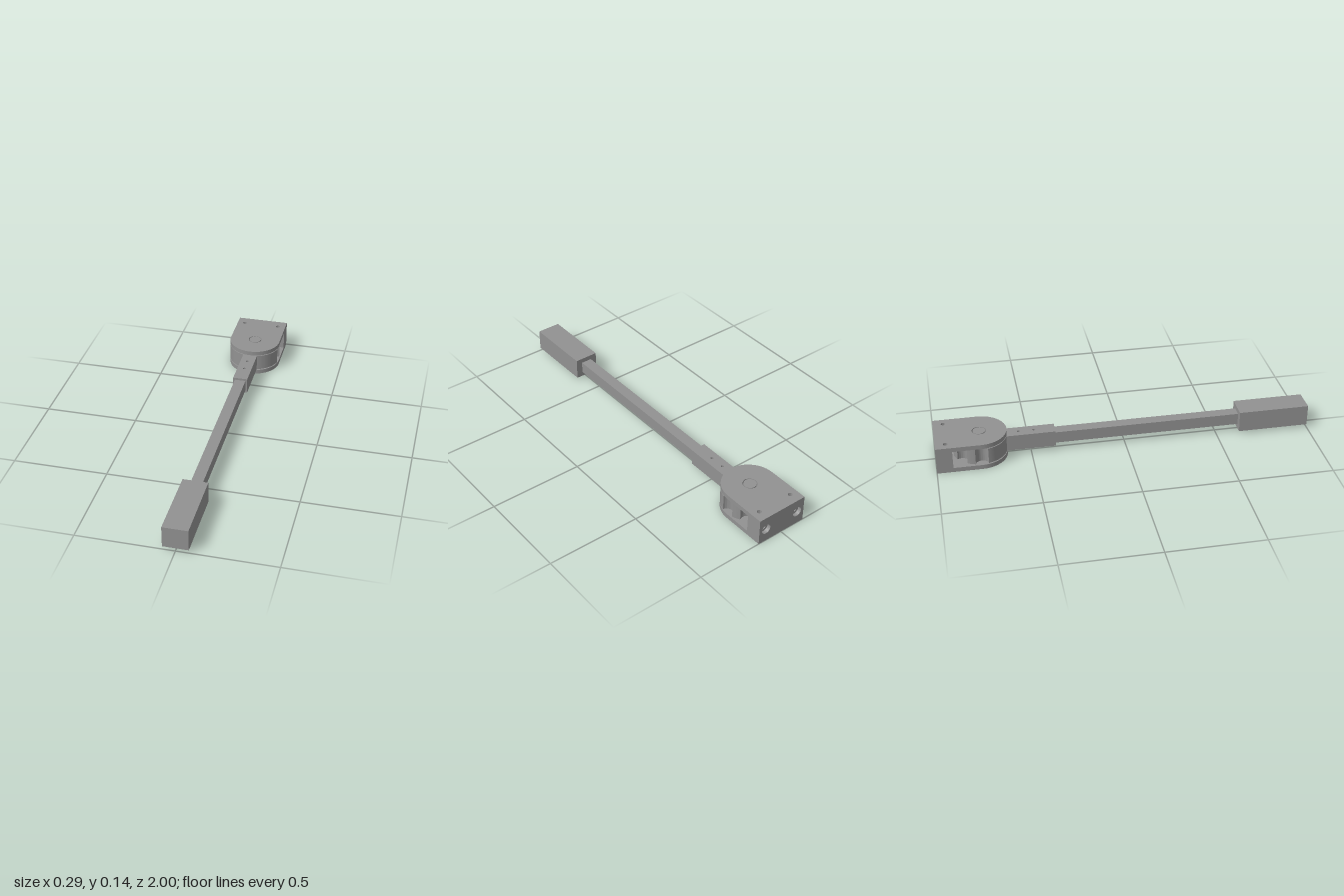
import * as THREE from 'three';
import { toCreasedNormals } from 'three/addons/utils/BufferGeometryUtils.js';

const PIVOT = 0.766;   // distance of the hinge axis behind the centre
const R = 0.143;       // hinge radius
const HEIGHT = 0.145;

export function createModel() {
  const model = new THREE.Group();
  model.name = 'hingedLever';
  const steel = new THREE.MeshStandardMaterial({ color: 0x929292 });
  steel.name = 'grey steel';

  const add = (name, geometry) => {
    const mesh = new THREE.Mesh(geometry, steel);
    mesh.name = name;
    model.add(mesh);
    return mesh;
  };
  const box = (name, w, y0, y1, z0, z1) =>
    add(name, new THREE.BoxGeometry(w, y1 - y0, z1 - z0))
      .position.set(0, (y0 + y1) / 2, (z0 + z1) / 2);
  const extrude = (shape, depth) => toCreasedNormals(
    new THREE.ExtrudeGeometry(shape, { depth, bevelEnabled: false, curveSegments: 32 }), 0.6);
  // Extrudes a plan (x, -z) upwards from y0 to y1
  const slab = (name, shape, y0, y1) =>
    add(name, extrude(shape, y1 - y0).rotateX(-Math.PI / 2)).position.y = y0;
  const rect = (w, y0, y1) => new THREE.Shape([
    new THREE.Vector2(-w / 2, y0), new THREE.Vector2(w / 2, y0),
    new THREE.Vector2(w / 2, y1), new THREE.Vector2(-w / 2, y1)]);
  const hole = (shape, x, y, r) =>
    shape.holes.push(new THREE.Path().absarc(x, y, r, 0, Math.PI * 2, true));

  // Handle, bar and the socket that holds the bar
  box('handle', 0.13, 0.017, 0.131, 0.62, 1);
  box('bar', 0.06, 0.042, 0.105, -0.6, 0.63);
  const socket = rect(0.08, 0.37, 0.65);
  for (const y of [0.48, 0.56]) hole(socket, 0, y, 0.008);
  slab('socket', socket, 0.03, 0.117);

  // Rotor with five detent notches round its rear half
  const rotor = new THREE.Shape();
  const notch = 0.034;
  const delta = 2 * Math.asin(notch / (2 * R));
  for (let i = 0; i < 5; i++) {
    const a = i * Math.PI / 4;
    rotor.absarc(R * Math.cos(a), PIVOT + R * Math.sin(a), notch,
      a - Math.PI / 2 - delta / 2, a + Math.PI / 2 + delta / 2, true);
    const next = i < 4 ? a + Math.PI / 4 : Math.PI * 2;
    rotor.absarc(0, PIVOT, R, a + delta, next - delta, false);
  }
  slab('notchedRotor', rotor, 0.03, 0.117);

  // Rounded cheek plates above and below the rotor
  for (const [name, y0] of [['lowerPlate', 0], ['upperPlate', 0.121]]) {
    const plate = new THREE.Shape();
    plate.moveTo(R, 0.96);
    plate.lineTo(-R, 0.96);
    plate.lineTo(-R, PIVOT);
    plate.absarc(0, PIVOT, R, Math.PI, Math.PI * 2, false);
    plate.closePath();
    hole(plate, 0, PIVOT, 0.037);
    for (const x of [-0.1, 0.1]) hole(plate, x, 0.945, 0.012);
    slab(name, plate, y0, y0 + 0.024);
  }

  // Rear block, drilled from above and counterbored from behind
  const core = rect(2 * R, 0.915, 0.96);
  for (const x of [-0.1, 0.1]) hole(core, x, 0.945, 0.012);
  slab('blockCore', core, 0.024, 0.121);
  for (const [name, z, r] of [['blockBack', -1, 0.027], ['boltSeat', -0.98, 0.014]]) {
    const layer = rect(2 * R, 0, HEIGHT);
    for (const x of [-0.1, 0.1]) hole(layer, x, HEIGHT / 2, r);
    add(name, extrude(layer, 0.02)).position.z = z;
  }

  // Hinge pin, flush with the plates
  add('hingePin', new THREE.CylinderGeometry(0.033, 0.033, HEIGHT, 48))
    .position.set(0, HEIGHT / 2, -PIVOT);

  // Plunger that engages the rear notch
  add('plunger', new THREE.CylinderGeometry(0.024, 0.024, 0.03, 32).rotateX(Math.PI / 2))
    .position.set(0, HEIGHT / 2, -0.905);

  return model;
}
